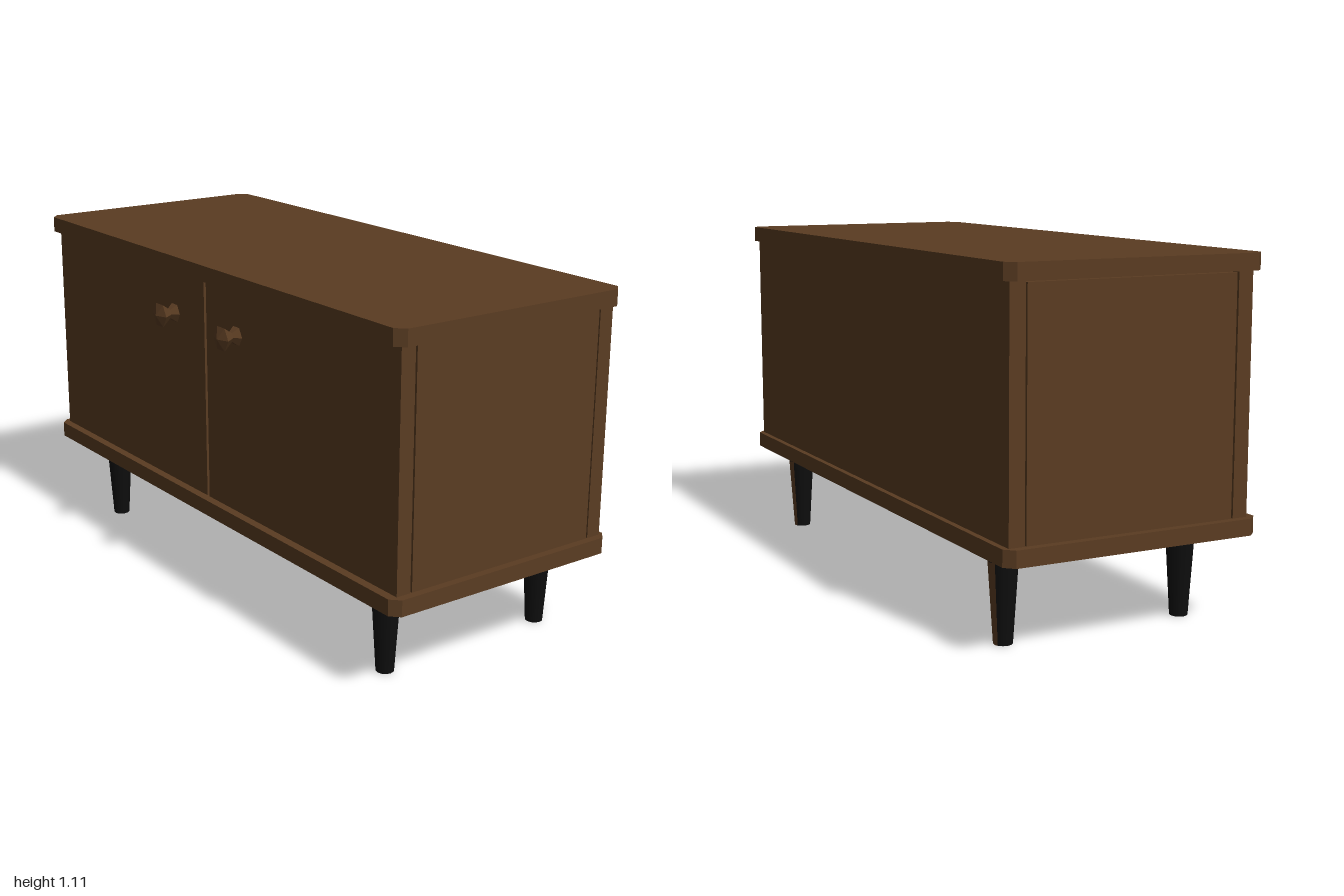
import * as THREE from 'three';

export function createModel() {
  const cabinet = new THREE.Group();
  cabinet.name = 'cabinet';
  const wood = new THREE.MeshStandardMaterial({ color: 0x5a3c22, flatShading: true });
  wood.name = 'walnut wood';
  const black = new THREE.MeshStandardMaterial({ color: 0x0e0e0e });
  black.name = 'black legs';

  const add = (name, geometry, material, x = 0, y = 0, z = 0) => {
    const mesh = new THREE.Mesh(geometry, material);
    mesh.name = name;
    mesh.position.set(x, y, z);
    cabinet.add(mesh);
    return mesh;
  };

  // Box given by its minimum and maximum corners
  const box = (name, [x0, y0, z0], [x1, y1, z1]) =>
    add(name, new THREE.BoxGeometry(x1 - x0, y1 - y0, z1 - z0), wood,
      (x0 + x1) / 2, (y0 + y1) / 2, (z0 + z1) / 2);

  // Top and base boards with clipped corners
  const w = 1, front = 0.397, back = -0.443, c = 0.028;
  const outline = new THREE.Shape([
    [-w + c, -front], [w - c, -front], [w, -front + c], [w, -back - c],
    [w - c, -back], [-w + c, -back], [-w, -back - c], [-w, -front + c],
  ].map(([x, y]) => new THREE.Vector2(x, y)));
  const board = new THREE.ExtrudeGeometry(outline, { depth: 0.051, bevelEnabled: false });
  board.rotateX(-Math.PI / 2);
  add('topBoard', board, wood, 0, 1.055, 0);
  add('baseBoard', board, wood, 0, 0.279, 0);

  // Doors with a narrow seam, and the back panel
  box('rightDoor', [-0.975, 0.33, 0.32], [-0.008, 1.055, 0.369]);
  box('leftDoor', [0.005, 0.33, 0.32], [0.975, 1.055, 0.369]);
  box('backPanel', [-0.975, 0.33, -0.425], [0.975, 1.055, -0.375]);

  // Hexagonal knob turned to face forward
  const knob = new THREE.LatheGeometry(
    [[0, 0], [0.033, 0], [0.016, 0.021], [0.042, 0.056], [0, 0.071]]
      .map(([r, y]) => new THREE.Vector2(r, y)), 6, Math.PI / 6);
  knob.rotateX(Math.PI / 2);

  // Tapered legs; the rear pair carries a wooden strip on the back
  const leg = new THREE.CylinderGeometry(0.046, 0.028, 0.28, 12);
  const strip = new THREE.CylinderGeometry(0.0455, 0.0295, 0.245, 2, 1, true,
    Math.PI * 5 / 6, Math.PI / 3);

  for (const s of [-1, 1]) {
    const side = s > 0 ? 'left' : 'right';
    const inner = s * 0.925, outer = s * 0.975;
    box(side + 'SidePanel', [Math.min(inner, outer), 0.33, -0.37],
      [Math.max(inner, outer), 1.05, 0.314]);
    add(side + 'Knob', knob, wood, s * 0.182, 0.91, 0.373);
    add(side + 'FrontLeg', leg, black, s * 0.795, 0.14, 0.261);
    add(side + 'BackLeg', leg, black, s * 0.795, 0.14, -0.344);
    add(side + 'BackLegStrip', strip, wood, s * 0.795, 0.1225, -0.344);
  }
  return cabinet;
}
